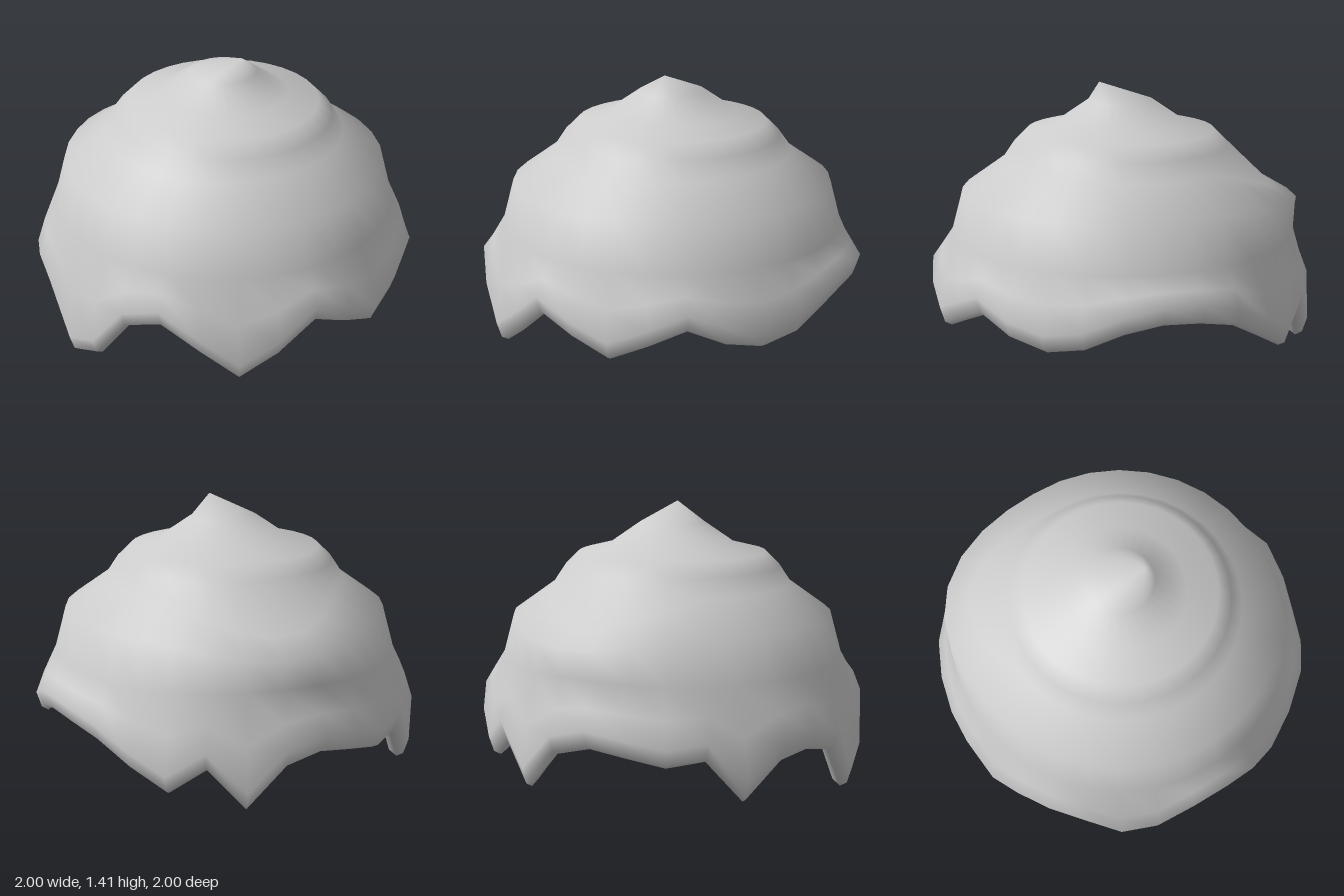
import * as THREE from 'three';

const SIDES = 32;

// Height of the torn hem for each side, starting at the front and going towards +x
const HEM = [
  0.21, 0.29, 0.37, 0.29, 0.25, 0.28, 0.36, 0.40,
  0.39, 0.35, 0.25, 0.15, 0.28, 0.08, 0.28, 0.33,
  0.30, 0.26, 0.29, 0.08, 0.25, 0.28, 0.24, 0.00,
  0.08, 0.32, 0.38, 0.25, 0.10, 0.22, 0.37, 0.29,
];

// Rings from the tip down the outside, round the hem and in under the cap.
// r, y: radius and height; hem, taper: how far height and radius follow the hem;
// dr, dy: extra where the middle tier bulges at the back
const RINGS = [
  { r: 0.17, y: 1.31 },
  { r: 0.33, y: 1.20 },
  { r: 0.49, y: 1.16 },
  { r: 0.56, y: 1.09 },
  { r: 0.62, y: 1.00, dr: 0.17, dy: -0.13 },
  { r: 0.83, y: 0.85, dr: 0.10, dy: -0.06 },
  { r: 0.89, y: 0.63, dr: 0.02, dy: 0.02 },
  { r: 0.975, y: 0.36, hem: 0.5, taper: -0.075 },
  { r: 1.00, y: 0.10, hem: 1 },
  { r: 0.975, y: 0.02, hem: 1 },
  { r: 0.94, y: 0.00, hem: 1 },
  { r: 0.90, y: 0.03, hem: 1 },
  { r: 0.83, y: 0.43 },
  { r: 0.65, y: 0.44 },
];

// Strength of the bulge, strongest behind and a little towards +x
function bulge(k) {
  const t = Math.min(Math.abs(k - 14.2) / 4.5, 1);
  return Math.cos(t * Math.PI / 2) ** 2;
}

function capGeometry() {
  const pos = [0, 1.41, 0.12]; // tip, leaning forward
  for (const { r, y, hem = 0, taper = 0, dr = 0, dy = 0 } of RINGS) {
    for (let k = 0; k < SIDES; k++) {
      const a = (k / SIDES) * Math.PI * 2;
      const b = bulge(k);
      const radius = r + taper * HEM[k] + dr * b;
      pos.push(Math.sin(a) * radius, y + hem * HEM[k] + dy * b, Math.cos(a) * radius);
    }
  }
  pos.push(0, 0.44, 0); // middle of the underside

  const index = [];
  const at = (ring, k) => 1 + ring * SIDES + (k % SIDES);
  const last = RINGS.length - 1;
  const under = 1 + RINGS.length * SIDES;
  for (let k = 0; k < SIDES; k++) {
    index.push(0, at(0, k), at(0, k + 1));
    for (let i = 0; i < last; i++) {
      const a = at(i, k), b = at(i, k + 1), c = at(i + 1, k), d = at(i + 1, k + 1);
      index.push(a, c, d, a, d, b);
    }
    index.push(at(last, k), under, at(last, k + 1));
  }

  const geo = new THREE.BufferGeometry();
  geo.setAttribute('position', new THREE.Float32BufferAttribute(pos, 3));
  geo.setIndex(index);
  geo.computeVertexNormals();
  return geo;
}

export function createModel() {
  const group = new THREE.Group();
  group.name = 'tieredCap';
  const shell = new THREE.Mesh(capGeometry(), new THREE.MeshStandardMaterial({ color: 0xcccccc }));
  shell.name = 'jaggedShell';
  group.add(shell);
  return group;
}
